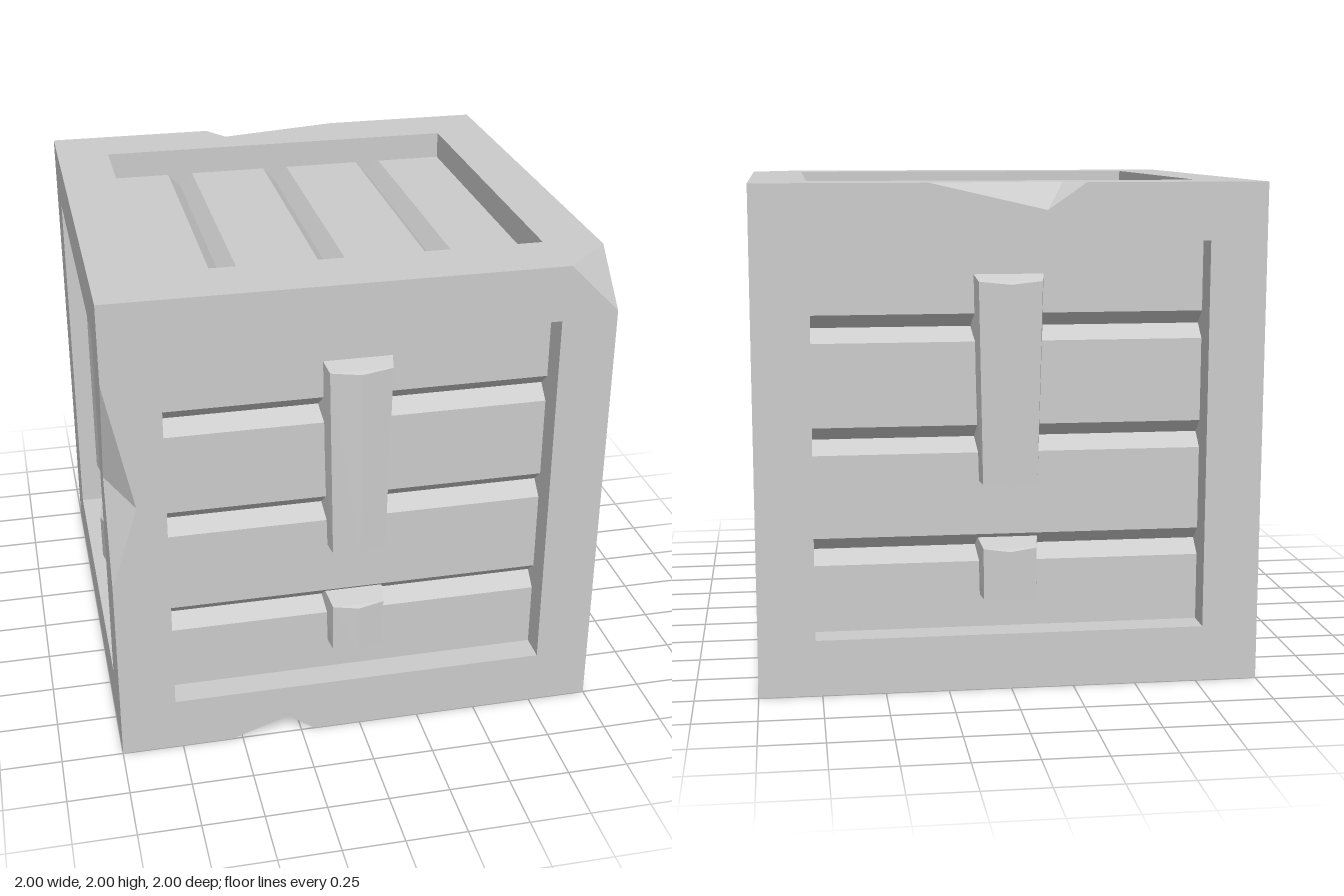
import * as THREE from 'three';
import { ConvexGeometry } from 'three/addons/geometries/ConvexGeometry.js';

const RECESS = 0.115, WALL = 0.19, GROOVE = 0.055, GROOVE_DEPTH = 0.06;
const GROOVES = [0.435, -0.007, -0.45];
const HALF_X = 0.775, HALF_Y = 0.775, HALF_Z = 0.735;

const material = new THREE.MeshStandardMaterial({ color: 0xcccccc, flatShading: true });
const chipMaterial = new THREE.MeshStandardMaterial({ color: 0xcccccc, flatShading: true, side: THREE.DoubleSide });

function add(parent, name, geometry, mat = material) {
  const mesh = new THREE.Mesh(geometry, mat);
  mesh.name = name;
  parent.add(mesh);
  return mesh;
}

const points = list => list.map(([x, y]) => new THREE.Vector2(x, y));

// Flat frame face with chipped outline and a rectangular opening
function frameFace(outline, hw, hh, holeNotch) {
  const shape = new THREE.Shape(points(outline));
  shape.holes.push(new THREE.Path(points([[-hw, -hh], ...holeNotch, [hw, -hh], [hw, hh], [-hw, hh]])));
  return new THREE.ShapeGeometry(shape).translate(0, 0, 1);
}

// One inner wall of the opening; half is its half length, offset its distance from the middle
function openingWall(half, offset, turn, notch) {
  const shape = new THREE.Shape(points([[-half, 0], ...notch, [half, 0], [half, WALL], [-half, WALL]]));
  return new THREE.ShapeGeometry(shape).rotateX(-Math.PI / 2).translate(0, -offset, 1).rotateZ(turn * Math.PI / 2);
}

// Recessed boards separated by V grooves
function boards(halfLength, halfSpan) {
  const profile = [[halfSpan, 0]];
  for (const c of GROOVES) profile.push([c + GROOVE, 0], [c, GROOVE_DEPTH], [c - GROOVE, 0]);
  profile.push([-halfSpan, 0]);
  const geometry = new THREE.PlaneGeometry(2 * halfLength, 1, 1, profile.length - 1);
  const pos = geometry.attributes.position;
  for (let i = 0; i < pos.count; i++) {
    const [y, depth] = profile[Math.floor(i / 2)];
    pos.setY(i, y);
    pos.setZ(i, 1 - RECESS - depth);
  }
  return geometry;
}

// Tapered clasp block: ridged front, flaring towards the boards, sloping top
function clasp(bottom, top, bottomWidth, topWidth, slope) {
  const verts = [];
  for (const side of [-1, 0, 1]) {
    const front = side === 0 ? 0.965 : 0.95;
    const lift = side === 0 ? -0.012 : 0;
    verts.push(
      new THREE.Vector3(side * bottomWidth, bottom + lift * 0.5, front),
      new THREE.Vector3(side * topWidth, top + lift, front));
    if (side !== 0) verts.push(
      new THREE.Vector3(side * bottomWidth * 1.17, bottom + 0.005, 0.81),
      new THREE.Vector3(side * topWidth * 1.22, top + slope, 0.81));
  }
  return new ConvexGeometry(verts);
}

// Broken-off spots: triangles given by their corners
function chip(parent, name, ...triangles) {
  const geometry = new THREE.BufferGeometry();
  geometry.setAttribute('position', new THREE.Float32BufferAttribute(triangles.flat(2), 3));
  geometry.computeVertexNormals();
  add(parent, name, geometry, chipMaterial);
}

// Chip across an edge a-b that bites to f on one face and l on the other
const edgeChip = (parent, name, a, b, f, l) => chip(parent, name, [a, f, l], [b, l, f]);

export function createModel() {
  const crate = new THREE.Group();
  crate.name = 'crate';

  // Outlines run counterclockwise from the lower left corner of each face
  const sides = [
    { name: 'front', ry: 0, outline: [[-1, -1], [-0.545, -1], [-0.305, -0.92], [-0.195, -1], [1, -1], [1, 0.8], [0.8, 1],
      [-1, 1], [-1, 0.68], [-0.89, 0.15], [-1, -0.2]] },
    { name: 'right', ry: 1, outline: [[-1, -1], [1, -1], [1, 1], [-0.8, 1], [-1, 0.8]],
      holeNotch: [[-0.48, -HALF_Y], [-0.31, -0.89], [-0.08, -HALF_Y]],
      floorNotch: [[-0.48, 0], [-0.33, 0.07], [-0.08, 0]] },
    { name: 'back', ry: 2, outline: [[-1, -1], [1, -1], [1, 1], [0.285, 1], [0.135, 0.895], [-0.32, 1], [-1, 1]] },
    { name: 'left', ry: 3, outline: [[-1, -1], [1, -1], [1, -0.2], [0.87, 0.23], [1, 0.68], [1, 1], [-1, 1]] },
    { name: 'top', rx: -1, outline: [[-1, -1], [0.8, -1], [1, -0.8], [1, 1], [0.32, 1], [-0.21, 0.89], [-0.285, 1], [-1, 1]] },
    { name: 'bottom', rx: 1, outline: [[-1, -1], [1, -1], [1, 1], [-0.195, 1], [-0.31, 0.86], [-0.545, 1], [-1, 1]] },
  ];

  for (const { name, ry = 0, rx = 0, outline, holeNotch = [], floorNotch = [] } of sides) {
    const side = new THREE.Group();
    side.name = name + 'Side';
    side.position.y = 1;
    side.rotation.set(rx * Math.PI / 2, ry * Math.PI / 2, 0);
    crate.add(side);

    const hw = ry % 2 ? HALF_Z : HALF_X;
    const hh = rx ? HALF_Z : HALF_Y;
    add(side, 'frame', frameFace(outline, hw, hh, holeNotch));
    for (let k = 0; k < 4; k++) {
      const [half, offset] = k % 2 ? [hh, hw] : [hw, hh];
      add(side, 'openingWall', openingWall(half, offset, k, k === 0 ? floorNotch : []));
    }

    if (rx) {
      // Lid and base boards run front to back
      add(side, 'boards', boards(hh, hw).rotateZ(-Math.PI / 2));
    } else {
      add(side, 'boards', boards(hw, hh));
      add(side, 'claspUpper', clasp(-0.18, 0.62, 0.108, 0.125, 0.05));
      add(side, 'claspLower', clasp(-0.645, -0.44, 0.105, 0.106, 0.045));
    }
  }

  // Broken corner and chipped edges
  chip(crate, 'cornerChip', [[0.8, 2, 1], [1, 1.8, 1], [1, 2, 0.8]]);
  edgeChip(crate, 'frontEdgeChip', [-1, 1.68, 1], [-1, 0.8, 1], [-0.89, 1.15, 1], [-1, 1.23, 0.87]);
  edgeChip(crate, 'bottomEdgeChip', [-0.545, 0, 1], [-0.195, 0, 1], [-0.305, 0.08, 1], [-0.31, 0, 0.86]);
  edgeChip(crate, 'backEdgeChip', [0.32, 2, -1], [-0.285, 2, -1], [-0.21, 2, -0.89], [-0.135, 1.895, -1]);
  edgeChip(crate, 'openingChip', [1, 0.225, 0.48], [1, 0.225, 0.08], [1, 0.11, 0.31], [0.93, 0.225, 0.33]);

  return crate;
}
